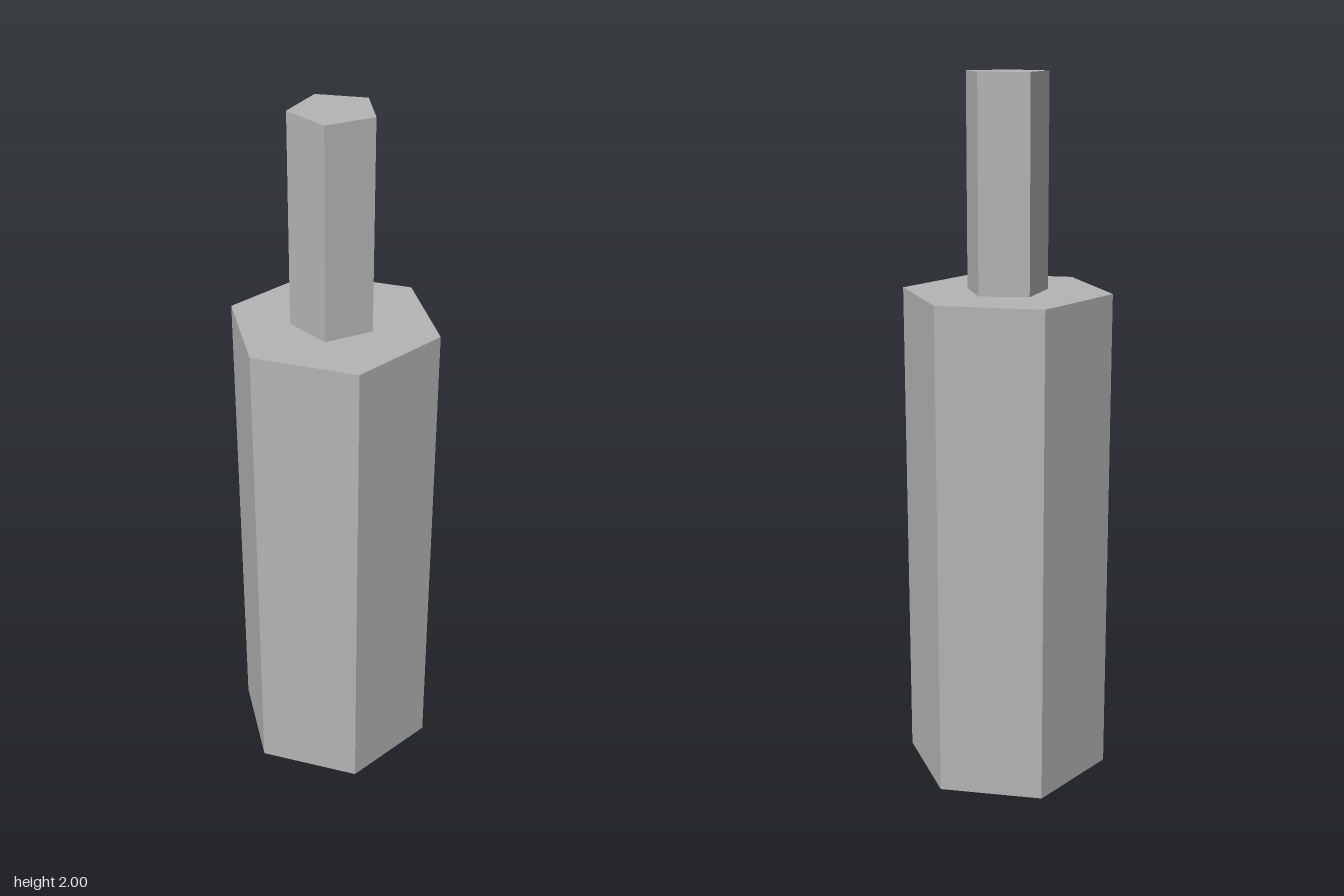
import * as THREE from 'three';

export function createModel() {
  const group = new THREE.Group();
  const grey = new THREE.MeshStandardMaterial({ color: 0xb4b4b4, flatShading: true });
  grey.name = 'grey';

  // Upright prism with one corner pointing to the back (-z)
  function prism(name, radius, sides, bottom, top) {
    const geometry = new THREE.CylinderGeometry(radius, radius, top - bottom, sides, 1, false, Math.PI);
    const mesh = new THREE.Mesh(geometry, grey);
    mesh.name = name;
    mesh.position.y = (bottom + top) / 2;
    group.add(mesh);
  }

  prism('body', 0.294, 6, 0, 1.412); // hexagonal body
  prism('neck', 0.118, 5, 1.412, 2); // pentagonal neck
  return group;
}
